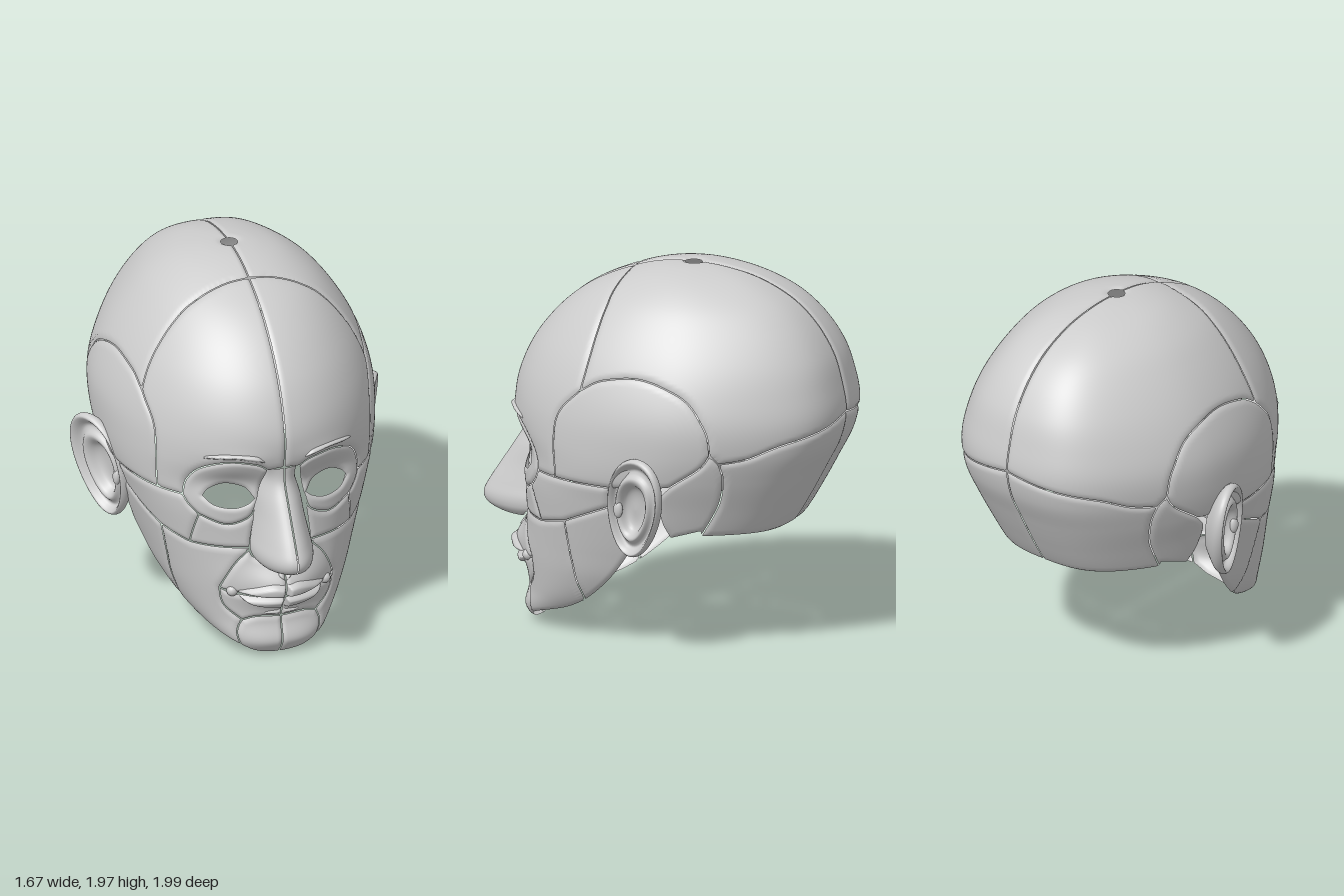
import * as THREE from 'three';
import { ParametricGeometry } from 'three/addons/geometries/ParametricGeometry.js';

// Head cross-sections, crown to chin: y, half width, centre z, front z, back z, front squareness
const ROWS = [
  [1.97, 0, -0.15, -0.15, -0.15, 2], [1.955, 0.15, -0.15, 0.02, -0.33, 2], [1.91, 0.29, -0.15, 0.18, -0.52, 2],
  [1.82, 0.42, -0.15, 0.38, -0.7, 2], [1.7, 0.525, -0.15, 0.54, -0.83, 2], [1.55, 0.62, -0.16, 0.67, -0.925, 2],
  [1.4, 0.685, -0.17, 0.75, -0.972, 2], [1.25, 0.722, -0.17, 0.79, -0.995, 2], [1.1, 0.722, -0.15, 0.775, -0.965, 2.1],
  [0.95, 0.7, -0.1, 0.735, -0.89, 2.2], [0.8, 0.65, -0.08, 0.72, -0.81, 2.4], [0.65, 0.605, -0.05, 0.715, -0.72, 2.4],
  [0.5, 0.555, 0, 0.715, -0.6, 2.4], [0.35, 0.495, 0.1, 0.71, -0.4, 2.4], [0.2, 0.4, 0.28, 0.715, 0, 2.4],
  [0.08, 0.28, 0.48, 0.745, 0.3, 2.4], [-0.01, 0.18, 0.58, 0.68, 0.5, 2.4],
];

// Smooth interpolation of any table of rows
function sample(rows, t) {
  const last = rows.length - 1;
  const i = Math.max(0, Math.min(last - 1, Math.floor(t)));
  const f = t - i;
  const at = (k) => rows[Math.max(0, Math.min(last, k))];
  return rows[0].map((_, c) => {
    const [p, q, r, s] = [at(i - 1)[c], at(i)[c], at(i + 1)[c], at(i + 2)[c]];
    return q + 0.5 * f * (r - p + f * (2 * p - 5 * q + 4 * r - s + f * (3 * (q - r) + s - p)));
  });
}
function levelOf(y) {
  let lo = 0, hi = ROWS.length - 1;
  for (let k = 0; k < 30; k++) {
    const mid = (lo + hi) / 2;
    if (sample(ROWS, mid)[0] > y) lo = mid; else hi = mid;
  }
  return lo;
}
const bump = (x, y, cx, cy, w, h) => Math.exp(-(((x - cx) / w) ** 2) - ((y - cy) / h) ** 2);
const BACK = 2.5; // squareness of the back of the skull

// Skull surface: angle a (0 front, PI back) and level t
function skull(a, t) {
  const [y, w, zc, zf, zb, n] = sample(ROWS, t);
  const s = Math.abs(Math.sin(a)), c = Math.cos(a), e = c > 0 ? n : BACK;
  const r = (s ** e + Math.abs(c) ** e) ** (-1 / e);
  const taper = c > 0 ? 1 : 1 - 0.11 * Math.sin(2 * a) ** 2;
  const x = w * r * s * taper;
  let z = zc + r * c * (c > 0 ? zf - zc : zc - zb);
  if (c > 0) {
    z += 0.1 * bump(x, y, 0, 0.41, 0.21, 0.115)     // muzzle
      + 0.01 * bump(x, y, 0.22, 1.15, 0.15, 0.05)   // brow ridge
      - 0.055 * bump(x, y, 0.26, 0.97, 0.17, 0.09)  // eye socket
      + 0.025 * bump(x, y, 0.27, 0.91, 0.13, 0.07); // eyelids
  }
  return new THREE.Vector3(x, y, z);
}

// Seam points: F by front x,y; D by side z,y; C and B on the front and back centre line
const F = (x, y) => {
  const t = levelOf(y), [, w, , , , n] = sample(ROWS, t);
  const s = Math.min(1, x / w);
  return [Math.atan2(s, (1 - s ** n) ** (1 / n)), t];
};
const D = (z, y) => {
  const t = levelOf(y), [, , zc, zf, zb, n] = sample(ROWS, t);
  const c = Math.max(-1, Math.min(1, (z - zc) / (z > zc ? zf - zc : zc - zb)));
  const e = c > 0 ? n : BACK;
  return [Math.atan2((1 - Math.abs(c) ** e) ** (1 / e), c), t];
};
const C = (y) => [0, levelOf(y)];
const B = (y) => [Math.PI, levelOf(y)];
const rev = (seam) => [...seam].reverse();

function outline(seams) {
  return seams.flatMap((s) => new THREE.CatmullRomCurve3(s.map(([a, t]) => new THREE.Vector3(a, t, 0)))
    .getPoints(s.length * 8));
}
// Signed distance (inside positive) to an outline lying on the skull
function distanceTo(loop) {
  const pts = loop.map((p) => skull(p.x, p.y));
  const near = new THREE.Vector3();
  const lines = pts.map((p, i) => new THREE.Line3(p, pts[(i + 1) % pts.length]))
    .filter((l) => l.distanceSq() > 1e-12);
  return (a, t, P) => {
    let inside = false, best = 9;
    loop.forEach((p, i) => {
      const q = loop[(i + 1) % loop.length];
      if ((p.y > t) !== (q.y > t) && a < p.x + ((t - p.y) / (q.y - p.y)) * (q.x - p.x)) inside = !inside;
    });
    for (const l of lines) best = Math.min(best, l.closestPointToPoint(P, true, near).distanceToSquared(P));
    return (inside ? 1 : -1) * Math.sqrt(best);
  };
}

// A skull panel trimmed to its seams, with softly rounded edges
function panelGeometry(seams, { lift = 0, step = 0.016, hole = null } = {}) {
  const loop = outline(seams), box = new THREE.Box2().setFromPoints(loop);
  const edge = distanceTo(loop), cut = hole && distanceTo(outline(hole));
  const crown = new THREE.Vector3(0, 1.97, -0.15);
  const na = Math.ceil((box.max.x - box.min.x) * 0.75 / step) + 2;
  const nt = Math.ceil((box.max.y - box.min.y) * 0.14 / step) + 2;
  const verts = [], index = [], made = new Map();
  for (let j = 0; j <= nt; j++) for (let i = 0; i <= na; i++) {
    const a = THREE.MathUtils.lerp(box.min.x, box.max.x, i / na);
    const t = THREE.MathUtils.lerp(box.min.y, box.max.y, j / nt);
    const p = skull(a, t);
    let f = Math.min(edge(a, t, p) - 0.0028, p.distanceTo(crown) - 0.045);
    if (cut) f = Math.min(f, -cut(a, t, p));
    verts.push({ p, f });
  }
  const crossing = (i, j) => {
    const key = i < j ? `${i}_${j}` : `${j}_${i}`;
    if (!made.has(key)) {
      const A = verts[i], Z = verts[j];
      made.set(key, verts.push({ p: A.p.clone().lerp(Z.p, A.f / (A.f - Z.f)), f: 0 }) - 1);
    }
    return made.get(key);
  };
  const clip = (tri) => {
    const poly = [];
    tri.forEach((v, k) => {
      const w = tri[(k + 1) % 3];
      if (verts[v].f > 0) poly.push(v);
      if ((verts[v].f > 0) !== (verts[w].f > 0)) poly.push(crossing(v, w));
    });
    for (let k = 2; k < poly.length; k++) index.push(poly[0], poly[k - 1], poly[k]);
  };
  for (let j = 0; j < nt; j++) for (let i = 0; i < na; i++) {
    const v = j * (na + 1) + i, d = v + na + 1;
    clip([v, d, v + 1]);
    clip([v + 1, d, d + 1]);
  }
  const used = new Map(), pos = [];
  const finalIndex = index.map((k) => {
    if (!used.has(k)) {
      const { p, f } = verts[k];
      const out = new THREE.Vector3(p.x, 0.4 * (p.y - 0.95), p.z + 0.1).normalize();
      const q = 1 - (1 - Math.min(1, f / 0.024)) ** 2;
      const v = p.clone().addScaledVector(out, (lift + 0.01) * q - 0.01);
      used.set(k, pos.push(v.x, v.y, v.z) / 3 - 1);
    }
    return used.get(k);
  });
  const g = new THREE.BufferGeometry();
  g.setAttribute('position', new THREE.Float32BufferAttribute(pos, 3));
  g.setIndex(finalIndex);
  g.computeVertexNormals();
  return g;
}

export function createModel() {
  const head = new THREE.Group();
  head.name = 'head';
  const clay = new THREE.MeshStandardMaterial({ color: 0xcccccc, side: THREE.DoubleSide });
  clay.name = 'clayGrey';
  const pair = (name, g) => {
    const m = g.clone().scale(-1, 1, 1);
    const id = m.index.array;
    for (let i = 0; i < id.length; i += 3) [id[i], id[i + 1]] = [id[i + 1], id[i]];
    m.computeVertexNormals();
    [[g, 'Left'], [m, 'Right']].forEach(([geo, side]) => {
      const mesh = new THREE.Mesh(geo, clay);
      mesh.name = name + side;
      head.add(mesh);
    });
  };
  const panel = (name, seams, options) => pair(name, panelGeometry(seams, options));

  // Shared seams
  const coronal = [C(1.91), D(0.185, 1.9), D(0.193, 1.87), D(0.2, 1.81), D(0.208, 1.73), D(0.222, 1.6), D(0.237, 1.49), D(0.255, 1.39)];
  const templeFront = [D(0.255, 1.39), D(0.38, 1.26), D(0.415, 1.1), D(0.41, 0.9)];
  const templeTop = [D(0.255, 1.39), D(0.12, 1.46), D(-0.07, 1.49), D(-0.3, 1.43), D(-0.45, 1.27), D(-0.48, 1.12)];
  const templeBack = [D(-0.48, 1.12), D(-0.42, 1.04), D(-0.26, 0.93)];
  const lambdoid = [D(-0.52, 1.07), D(-0.64, 1.09), D(-0.82, 1.16), B(1.24)];
  const nape = [D(-0.52, 1.07), D(-0.53, 0.98), D(-0.5, 0.85), D(-0.38, 0.64)];
  const socketTop = [F(0.085, 1.08), F(0.15, 1.12), F(0.26, 1.135), F(0.39, 1.09), F(0.46, 1.0), F(0.48, 0.9)];
  const socketOuter = [F(0.48, 0.9), F(0.455, 0.85), F(0.41, 0.8)];
  const socketLow = [F(0.41, 0.8), F(0.28, 0.755), F(0.18, 0.79), F(0.125, 0.9)];
  const cheekSplit = [F(0.41, 0.8), F(0.44, 0.62)];
  const cheekLine = [F(0.165, 0.62), F(0.44, 0.62)];
  const jawSplit = [D(0.37, 0.66), D(0.36, 0.55), D(0.345, 0.43), D(0.33, 0.31), D(0.31, 0.2)];
  const smile = [F(0.165, 0.61), F(0.24, 0.53), F(0.31, 0.38)];
  const smileLow = [F(0.31, 0.38), F(0.28, 0.27), F(0.2, 0.2)];
  const chinSide = [F(0.2, 0.2), F(0.225, 0.12), F(0.2, 0.05)];
  const chinTop = [F(0.2, 0.2), F(0.13, 0.22), C(0.215)];

  // Skull
  panel('forehead', [coronal, templeFront, [D(0.41, 0.9), F(0.48, 0.9)], rev(socketTop),
    [F(0.085, 1.08), C(1.09)], [C(1.09), C(1.91)]]);
  panel('crownPanel', [coronal, templeTop, [D(-0.48, 1.12), D(-0.52, 1.07)], lambdoid,
    [B(1.24), [Math.PI, 0]], [[Math.PI, 0], [0, 0]], [[0, 0], C(1.91)]]);
  panel('temple', [templeTop, templeBack, [D(-0.26, 0.93), D(0.07, 0.9)], [D(0.07, 0.9), D(0.41, 0.9)], rev(templeFront)]);
  panel('backOfHead', [lambdoid, [B(1.24), B(0.63)], [B(0.63), D(-0.38, 0.64)], rev(nape)]);
  panel('behindEar', [templeBack, [D(-0.26, 0.93), D(-0.2, 0.86), D(-0.2, 0.72), D(-0.23, 0.63)],
    [D(-0.23, 0.63), D(-0.38, 0.67)], rev(nape), [D(-0.52, 1.07), D(-0.48, 1.12)]]);

  // Face
  panel('eyeSocket', [socketTop, socketOuter, socketLow, [F(0.125, 0.9), F(0.085, 1.08)]], {
    step: 0.009,
    hole: [[F(0.14, 0.9), F(0.2, 0.965), F(0.28, 0.98), F(0.36, 0.95), F(0.395, 0.91)],
      [F(0.395, 0.91), F(0.33, 0.86), F(0.25, 0.85), F(0.18, 0.87), F(0.14, 0.9)]],
  });
  panel('innerCheek', [socketLow, [F(0.125, 0.9), F(0.165, 0.64)], cheekLine, rev(cheekSplit)], { step: 0.012 });
  panel('cheekbone', [socketOuter, cheekSplit, [F(0.44, 0.62), D(0.37, 0.66)], [D(0.37, 0.66), D(0.09, 0.785)],
    [D(0.09, 0.785), D(0.07, 0.9)], [D(0.07, 0.9), F(0.48, 0.9)]]);
  panel('frontJaw', [cheekLine, [F(0.44, 0.62), D(0.37, 0.66)], jawSplit, [D(0.31, 0.2), D(0.46, 0.125), F(0.2, 0.05)],
    rev(chinSide), rev(smileLow), rev(smile)]);
  panel('rearJaw', [[D(0.37, 0.66), D(0.09, 0.785)], [D(0.09, 0.785), D(0, 0.76)], [D(0, 0.76), D(0, 0.53)],
    [D(0, 0.53), D(0.13, 0.36), D(0.31, 0.2)], rev(jawSplit)]);
  panel('chin', [chinTop, [C(0.215), C(-0.008)], [C(-0.008), F(0.12, 0.01), F(0.2, 0.05)], rev(chinSide)], { step: 0.01 });
  panel('upperMuzzle', [[C(0.545), F(0.14, 0.565), F(0.165, 0.61)], smile,
    [F(0.31, 0.38), F(0.26, 0.368), C(0.365)], [C(0.365), C(0.545)]], { step: 0.01 });
  panel('lowerMuzzle', [[C(0.35), F(0.25, 0.358), F(0.31, 0.38)], smileLow, chinTop, [C(0.215), C(0.35)]], { step: 0.01 });

  // Raised details
  const fine = { step: 0.007, lift: 0.028 };
  panel('upperLip', [[C(0.435), F(0.06, 0.445), F(0.16, 0.42), F(0.26, 0.38)], [F(0.26, 0.38), F(0.13, 0.363), C(0.362)], [C(0.362), C(0.435)]], fine);
  panel('lowerLip', [[C(0.352), F(0.12, 0.354), F(0.24, 0.361)], [F(0.24, 0.361), F(0.15, 0.3), C(0.28)], [C(0.28), C(0.352)]], fine);
  panel('underLip', [[C(0.268), F(0.07, 0.265), F(0.13, 0.25)], [F(0.13, 0.25), F(0.07, 0.23), C(0.225)], [C(0.225), C(0.268)]], { step: 0.007, lift: 0.012 });
  panel('philtrum', [[C(0.54), F(0.04, 0.535)], [F(0.04, 0.535), F(0.038, 0.47), C(0.445)], [C(0.445), C(0.54)]], { step: 0.006, lift: 0.012 });
  panel('eyebrow', [[F(0.105, 1.15), F(0.16, 1.185), F(0.27, 1.19), F(0.38, 1.17), F(0.415, 1.135)],
    [F(0.415, 1.135), F(0.35, 1.14), F(0.24, 1.15), F(0.105, 1.13), F(0.105, 1.15)]], { step: 0.006, lift: 0.018 });
  const corner = skull(...F(0.25, 0.377));
  pair('mouthCorner', new THREE.SphereGeometry(0.03, 16, 12).translate(corner.x, corner.y, corner.z - 0.014));

  // Nose: y, half width, side z, ridge z
  const nose = [[1.085, 0.078, 0.735, 0.768], [1, 0.085, 0.665, 0.775], [0.9, 0.115, 0.645, 0.835], [0.8, 0.13, 0.65, 0.9],
    [0.7, 0.148, 0.67, 0.965], [0.635, 0.16, 0.685, 0.998], [0.59, 0.155, 0.7, 0.99], [0.56, 0.135, 0.73, 0.95],
    [0.54, 0.11, 0.75, 0.88], [0.545, 0.09, 0.74, 0.77]];
  pair('nose', new ParametricGeometry((u, v, out) => {
    const [y, w, zs, zr] = sample(nose, v * (nose.length - 1));
    const b = u * Math.PI / 2;
    out.set(0.003 + (w - 0.003) * Math.sin(b), y, zs + (zr - zs) * Math.cos(b) ** 1.25);
  }, 16, 45));

  // Ear: outline scale, outward offset from the back root over the rim into the bowl
  const ear = [[0.55, -0.09], [0.85, -0.045], [0.98, -0.015], [1, 0.01], [0.95, 0.03], [0.88, 0.018], [0.8, -0.008],
    [0.72, -0.004], [0.62, 0.018], [0.52, 0.006], [0.42, -0.03], [0.25, -0.045], [0, -0.045]];
  pair('ear', new ParametricGeometry((u, v, out) => {
    const [s, d] = sample(ear, v * (ear.length - 1));
    const b = u * Math.PI * 2;
    const y = 0.82 + 0.275 * s * Math.sin(b) - (1 - s) * 0.03;
    const z = -0.09 + s * Math.cos(b) * (0.165 + 0.025 * Math.sin(b)) - 0.13 * (y - 0.82) + (1 - s) * 0.03;
    out.set(0.625 + 0.46 * (0.1 - z) + 0.12 * (y - 0.82) + d, y, z + 0.3 * d);
  }, 48, 40));
  pair('earTragus', new THREE.SphereGeometry(1, 16, 12).scale(0.02, 0.045, 0.025).translate(0.665, 0.79, 0.02));
  return head;
}
